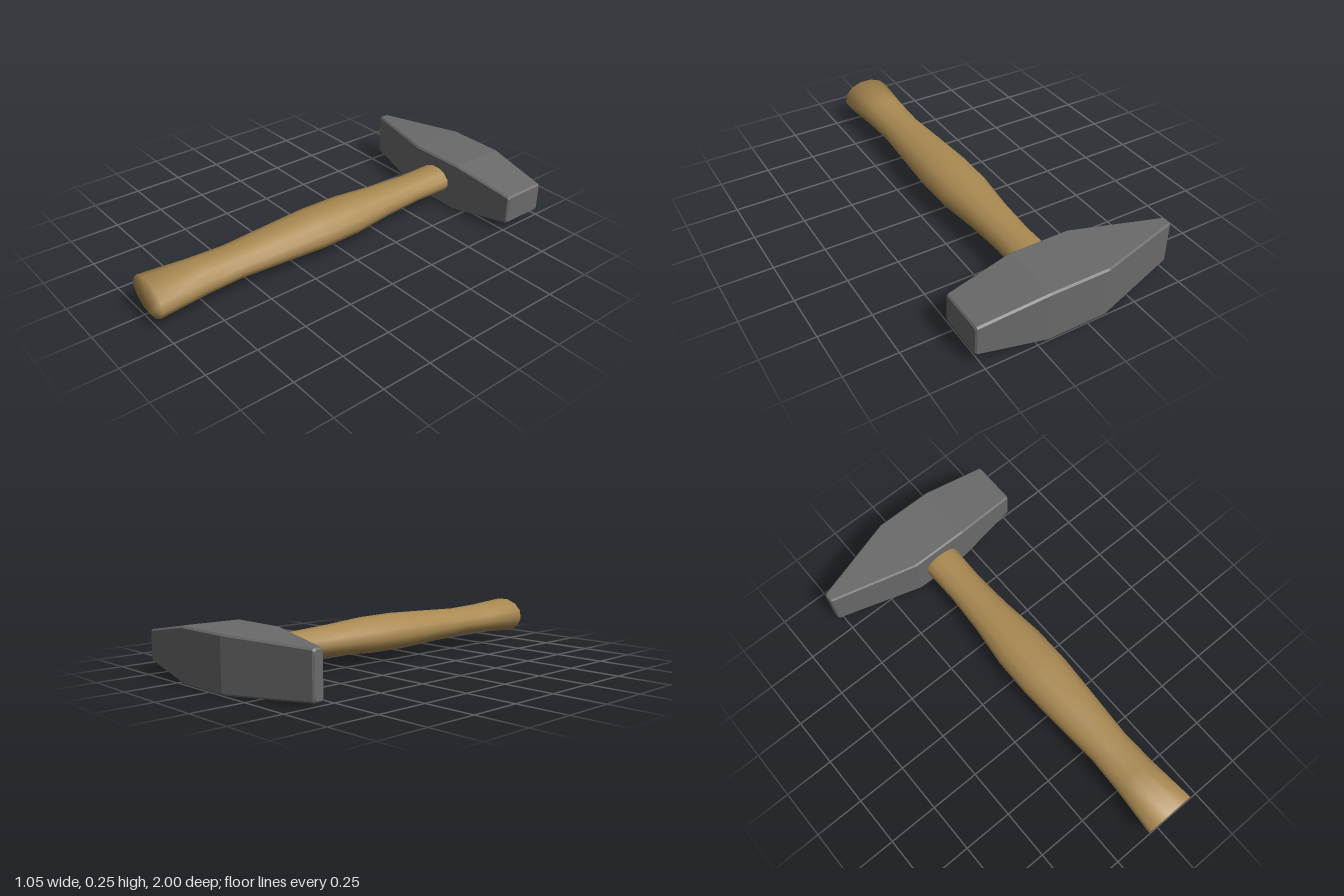
import * as THREE from 'three';

// Skins a list of rings (arrays of points, counterclockwise about the rising axis) and caps both ends.
function loft(rings) {
  const n = rings[0].length, index = [];
  for (let i = 0; i < rings.length - 1; i++) {
    for (let j = 0; j < n; j++) {
      const a = i * n + j, b = i * n + (j + 1) % n;
      index.push(a, b, a + n, b, b + n, a + n);
    }
  }
  const last = (rings.length - 1) * n;
  for (let j = 1; j < n - 1; j++) {
    index.push(0, j + 1, j, last, last + j, last + j + 1);
  }
  const geo = new THREE.BufferGeometry();
  geo.setAttribute('position', new THREE.Float32BufferAttribute(rings.flat(2), 3));
  geo.setIndex(index);
  return geo;
}

export function createModel() {
  const steel = new THREE.MeshStandardMaterial({ color: 0x6a6a6a });
  steel.name = 'steel';
  const wood = new THREE.MeshStandardMaterial({ color: 0xab8a52 });
  wood.name = 'wood';
  const group = new THREE.Group();
  group.name = 'hammer';

  // Head: bevelled rectangular sections along x as [x, centre y, half height, half depth]
  const bevel = 0.008, headZ = -0.85;
  const section = ([x, cy, h, d]) => [
    [h - bevel, -d], [h, -d + bevel], [h, d - bevel], [h - bevel, d],
    [-h + bevel, d], [-h, d - bevel], [-h, -d + bevel], [-h + bevel, -d],
  ].map(([y, z]) => [x, cy + y, headZ + z]);
  const headGeo = loft([
    [-0.527, 0.13, 0.1, 0.019],
    [-0.52, 0.13, 0.107, 0.027],
    [-0.09, 0.129, 0.127, 0.15],
    [0.2, 0.129, 0.127, 0.15],
    [0.518, 0.13, 0.074, 0.117],
    [0.525, 0.13, 0.067, 0.11],
  ].map(section)).toNonIndexed();
  headGeo.computeVertexNormals();
  const head = new THREE.Mesh(headGeo, steel);
  head.name = 'head';
  group.add(head);

  // Handle: 13-sided oval sections along z as [z, half width, half height]
  const sides = 13;
  const oval = ([z, rx, ry]) => Array.from({ length: sides }, (_, j) => {
    const a = -Math.PI / 2 + (j / sides) * Math.PI * 2;
    return [0.055 + rx * Math.cos(a), 0.13 + ry * Math.sin(a), z];
  });
  const handleGeo = loft([
    [-0.85, 0.097, 0.067],
    [-0.68, 0.094, 0.066],
    [-0.5, 0.091, 0.066],
    [-0.3, 0.102, 0.075],
    [-0.08, 0.127, 0.089],
    [0.12, 0.13, 0.091],
    [0.35, 0.117, 0.082],
    [0.58, 0.103, 0.072],
    [0.76, 0.11, 0.077],
    [1, 0.129, 0.092],
  ].map(oval));
  handleGeo.computeVertexNormals();
  const handle = new THREE.Mesh(handleGeo, wood);
  handle.name = 'handle';
  group.add(handle);

  return group;
}
